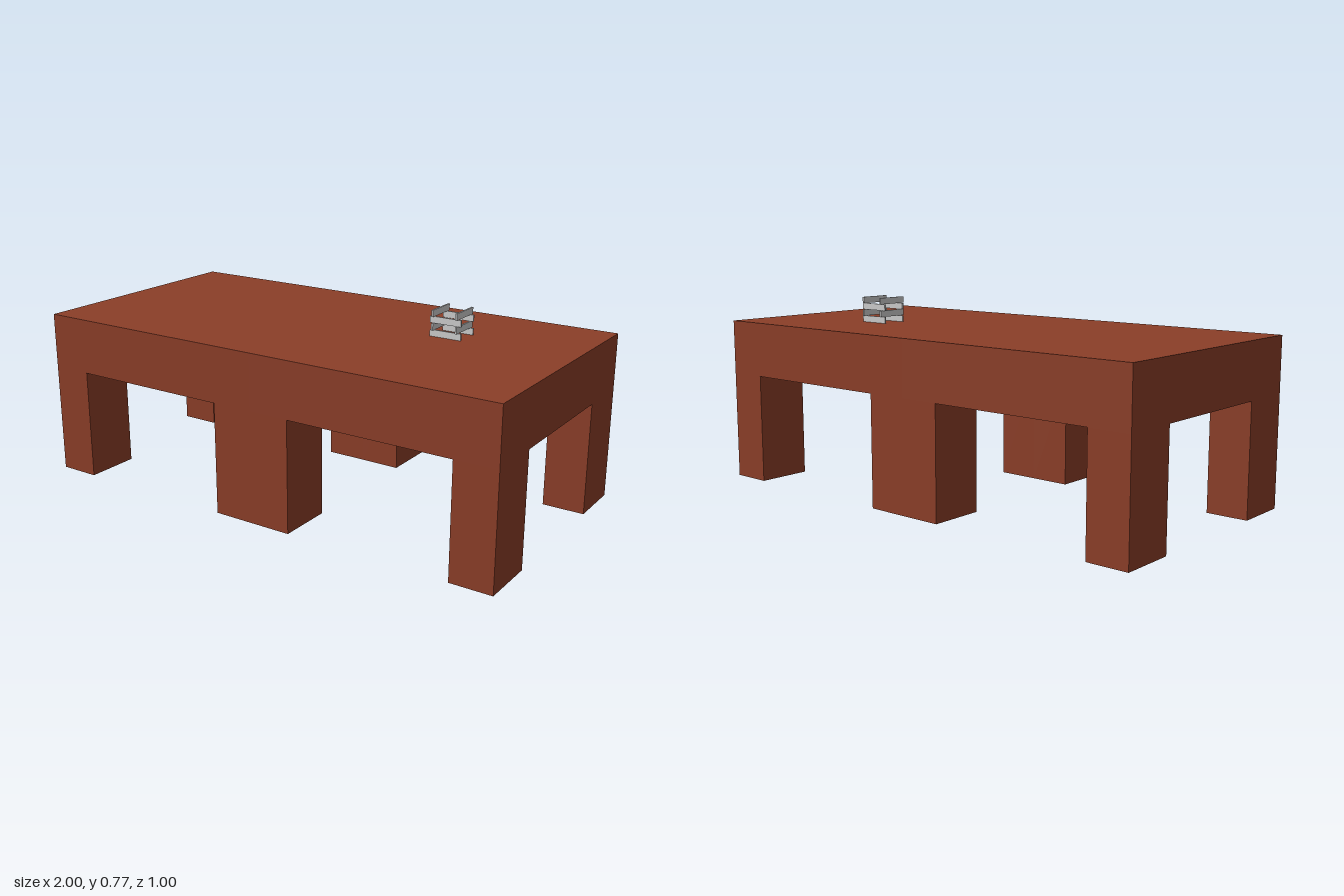
import * as THREE from 'three';

const wood = new THREE.MeshStandardMaterial({ color: 0x8b3e28 });
const grey = new THREE.MeshStandardMaterial({ color: 0xcccccc });

function box(name, size, pos, material) {
  const mesh = new THREE.Mesh(new THREE.BoxGeometry(...size), material);
  mesh.position.set(...pos);
  mesh.name = name;
  return mesh;
}

// Square table: thick slab on four corner legs
function makeTable() {
  const table = new THREE.Group();
  const legW = 0.167, legD = 0.222, legH = 0.445, slabH = 0.222;
  table.add(box('tableTop', [1, slabH, 1], [0, legH + slabH / 2, 0], wood));
  for (const sx of [-1, 1]) {
    for (const sz of [-1, 1]) {
      table.add(box('leg', [legW, legH, legD],
        [sx * (0.5 - legW / 2), legH / 2, sz * (0.5 - legD / 2)], wood));
    }
  }
  return table;
}

// Small tower of thin planks on edge, laid in pairs that alternate direction
function makePlankStack() {
  const stack = new THREE.Group();
  const length = 0.13, height = 0.026, thickness = 0.007, offset = 0.05;
  for (let layer = 0; layer < 4; layer++) {
    const alongX = layer % 2 === 0;
    const y = (layer + 0.5) * height;
    for (const s of [-1, 1]) {
      stack.add(alongX
        ? box('plank', [length, height, thickness], [0, y, s * offset], grey)
        : box('plank', [thickness, height, length], [s * offset, y, 0], grey));
    }
  }
  return stack;
}

export function createModel() {
  const model = new THREE.Group();
  model.name = 'tablesWithPlankStack';

  // Two tables pushed together
  for (const side of [-1, 1]) {
    const table = makeTable();
    table.name = side > 0 ? 'leftTable' : 'rightTable';
    table.position.x = side * 0.5;
    model.add(table);
  }

  const stack = makePlankStack();
  stack.name = 'plankStack';
  stack.position.set(0.489, 0.667, -0.12);
  model.add(stack);
  return model;
}
